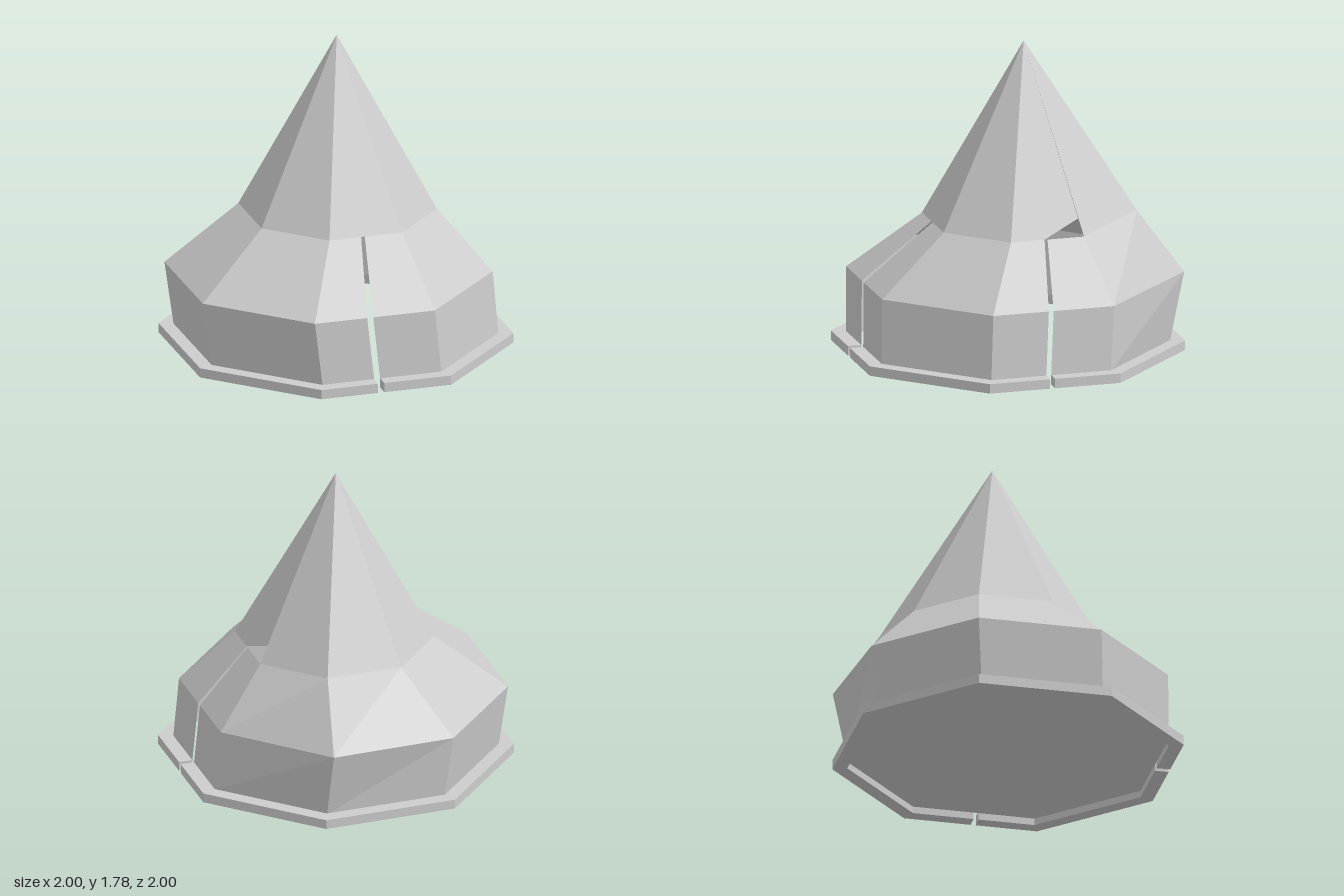
import * as THREE from 'three';

const grey = new THREE.MeshStandardMaterial({ color: 0xcccccc, flatShading: true });
const shellGrey = new THREE.MeshStandardMaterial({ color: 0xcccccc, flatShading: true, side: THREE.DoubleSide });

// Eight corners of a ring, going from +x towards +z
function octagon(r, y = 0, cx = 0, cz = 0) {
  return Array.from({ length: 8 }, (_, i) => {
    const a = i * Math.PI / 4;
    return new THREE.Vector3(cx + r * Math.cos(a), y, cz + r * Math.sin(a));
  });
}

// Point on a ring: whole numbers are corners, fractions lie along the sides
function along(ring, u) {
  const i = Math.floor(u);
  return ring[i % 8].clone().lerp(ring[(i + 1) % 8], u - i);
}

// Stops from one slit edge to another, including the corners between
function stops(from, to) {
  const list = [from];
  for (let i = Math.floor(from) + 1; i < to; i++) list.push(i);
  return [...list, to];
}

function mesh(name, geometry, material) {
  const m = new THREE.Mesh(geometry, material);
  m.name = name;
  return m;
}

function fromTriangles(points) {
  const g = new THREE.BufferGeometry().setFromPoints(points);
  g.computeVertexNormals();
  return g;
}

// Rim segment: outer side out, inner side back
function rimPiece(from, to) {
  const us = stops(from, to), outer = octagon(1), inner = octagon(0.915);
  const outline = [...us.map(u => along(outer, u)), ...us.reverse().map(u => along(inner, u))];
  const shape = new THREE.Shape(outline.map(p => new THREE.Vector2(p.x, -p.z)));
  return new THREE.ExtrudeGeometry(shape, { depth: 0.055, bevelEnabled: false }).rotateX(-Math.PI / 2);
}

// Panels between neighbouring rings
function panels(rings, from, to) {
  const us = stops(from, to), pts = [];
  for (let k = 0; k < rings.length - 1; k++) {
    for (let i = 0; i < us.length - 1; i++) {
      const a0 = along(rings[k], us[i]), b0 = along(rings[k], us[i + 1]);
      const a1 = along(rings[k + 1], us[i]), b1 = along(rings[k + 1], us[i + 1]);
      pts.push(b0, a0, a1, b0, a1, b1);
    }
  }
  return fromTriangles(pts);
}

export function createModel() {
  const group = new THREE.Group();

  // Rings of the leaning shell, with the back left corner pulled out
  const foot = octagon(0.915, 0.05);
  const eave = octagon(0.925, 0.42, -0.025, -0.035);
  const neck = octagon(0.56, 0.76, 0.055, -0.05);
  eave[7].set(0.67, 0.445, -0.73);
  neck[7].set(0.52, 0.81, -0.51);
  const apex = new THREE.Vector3(0.06, 1.78, -0.065);

  // Two sections separated by narrow slits
  const sections = [['front', 0.54, 2.515], ['back', 2.565, 8.5]];
  for (const [name, from, to] of sections) {
    group.add(mesh(name + 'Rim', rimPiece(from, to), grey));
    group.add(mesh(name + 'WallAndEave', panels([foot, eave, neck], from, to), shellGrey));
  }

  // Pointed roof, with a small open corner above the side slit
  const slitTop = along(neck, 0.54);
  const openCorner = new THREE.Vector3(0.562, 0.855, -0.05);
  const roof = [slitTop, openCorner, apex, neck[1], slitTop, apex];
  for (let i = 1; i < 8; i++) roof.push(neck[(i + 1) % 8], neck[i], apex);
  group.add(mesh('pointedRoof', fromTriangles(roof), shellGrey));

  // Floor recessed inside the rim
  const floor = mesh('floor', new THREE.CircleGeometry(0.915, 8).rotateX(Math.PI / 2), grey);
  floor.position.y = 0.04;
  group.add(floor);

  return group;
}
